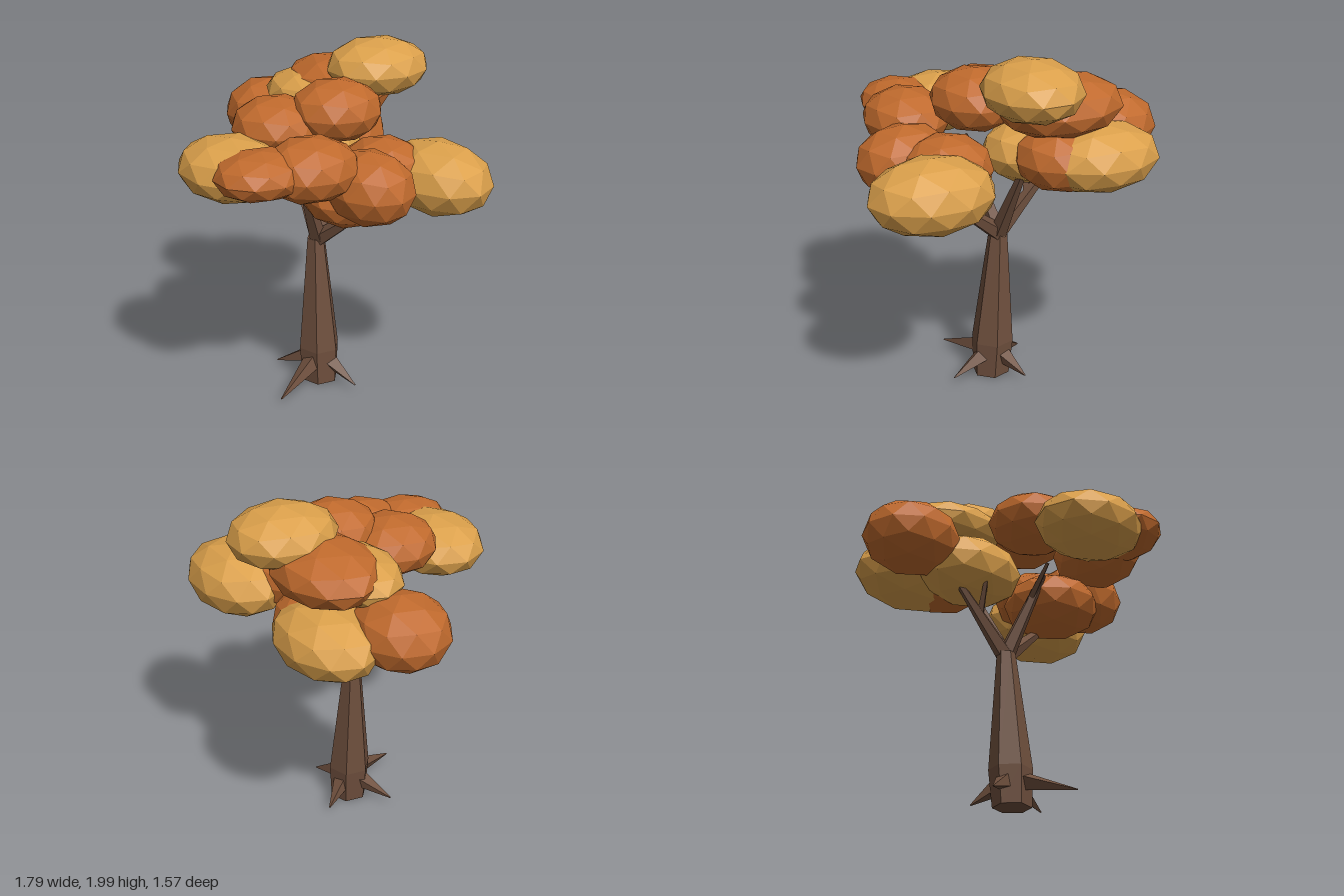
import * as THREE from 'three';

export function createModel() {
  const model = new THREE.Group();
  model.name = 'autumnTree';
  const paint = (name, color) => {
    const m = new THREE.MeshStandardMaterial({ color, flatShading: true });
    m.name = name;
    return m;
  };
  const bark = paint('brownBark', 0x6e4f3d);
  const orange = paint('orangeLeaves', 0xc06a2d);
  const gold = paint('goldLeaves', 0xdba04b);

  const add = (parent, name, geometry, material) => {
    const mesh = new THREE.Mesh(geometry, material);
    mesh.name = name;
    parent.add(mesh);
    return mesh;
  };
  const group = (name) => {
    const g = new THREE.Group();
    g.name = name;
    model.add(g);
    return g;
  };

  // Tapered limb between two points
  const limb = (parent, name, from, to, r0, r1, sides) => {
    const a = new THREE.Vector3(...from), b = new THREE.Vector3(...to);
    const dir = b.clone().sub(a);
    const mesh = add(parent, name, new THREE.CylinderGeometry(r1, r0, dir.length(), sides), bark);
    mesh.position.copy(a).add(b).multiplyScalar(0.5);
    mesh.quaternion.setFromUnitVectors(new THREE.Vector3(0, 1, 0), dir.normalize());
  };

  // Trunk: six-sided column that leans and narrows; rings are [y, centre x, radius]
  const rings = [[0.01, 0.04, 0.108], [0.22, 0.03, 0.122], [0.9, -0.005, 0.053]];
  const trunk = new THREE.CylinderGeometry(1, 1, 1, 6, 2);
  const p = trunk.attributes.position;
  for (let i = 0; i < p.count; i++) {
    const [y, cx, r] = rings[Math.round((p.getY(i) + 0.5) * 2)];
    const a = Math.atan2(p.getZ(i), p.getX(i)) + 0.2;
    const k = Math.hypot(p.getX(i), p.getZ(i)) * r;
    p.setXYZ(i, cx + Math.cos(a) * k, y, -0.09 + Math.sin(a) * k);
  }
  add(model, 'trunk', trunk, bark);

  // Roots: four spikes around the foot
  const roots = group('roots');
  for (const [x, z] of [[0.18, 0.28], [-0.08, -0.3], [-0.2, 0.05], [0.3, -0.155]]) {
    const sx = 0.035 + (x - 0.045) * 0.25, sz = -0.085 + (z + 0.03) * 0.25;
    limb(roots, 'root', [sx, 0.14, sz], [x, 0.05, z], 0.055, 0.004, 4);
  }

  // Branches
  const branches = group('branches');
  for (const tip of [[-0.32, 1.28, -0.14], [-0.03, 1.36, -0.36], [0.37, 1.2, -0.22], [0.11, 1.36, 0.1]]) {
    limb(branches, 'branch', [0, 0.89, -0.1], tip, 0.052, 0.02, 5);
  }
  limb(branches, 'twig', [0.07, 1.2, 0.02], [0.2, 1.36, 0.06], 0.025, 0.012, 4);
  limb(branches, 'twig', [0.07, 1.2, 0.02], [0.06, 1.38, 0.2], 0.025, 0.012, 4);
  limb(branches, 'twig', [-0.17, 1.1, -0.12], [-0.2, 1.32, -0.02], 0.025, 0.012, 4);

  // Foliage: squashed faceted balls with a point at the top; x, y, z, then radii
  const ball = new THREE.IcosahedronGeometry(1, 1)
    .rotateZ(Math.atan(2 / (1 + Math.sqrt(5))))
    .rotateY(Math.PI / 2);
  const foliage = group('foliage');
  const clumps = [
    [gold, 0, 1.84, -0.5, 0.265, 0.16, 0.3],
    [gold, 0.55, 1.36, -0.49, 0.345, 0.2, 0.265],
    [gold, -0.4, 1.42, -0.5, 0.345, 0.185, 0.26],
    [gold, -0.27, 1.66, -0.25, 0.315, 0.135, 0.24],
    [gold, -0.2, 1.4, -0.2, 0.33, 0.19, 0.26],
    [gold, 0.09, 1.49, 0.52, 0.325, 0.165, 0.275],
    [orange, -0.61, 1.47, -0.19, 0.285, 0.2, 0.26],
    [orange, -0.22, 1.7, -0.39, 0.355, 0.165, 0.275],
    [orange, -0.21, 1.42, -0.42, 0.25, 0.18, 0.25],
    [orange, 0.52, 1.39, -0.05, 0.275, 0.2, 0.23],
    [orange, 0.33, 1.29, -0.08, 0.28, 0.175, 0.28],
    [orange, 0.37, 1.4, -0.26, 0.25, 0.175, 0.25],
    [orange, 0.145, 1.7, -0.11, 0.24, 0.17, 0.26],
    [orange, -0.015, 1.62, 0.16, 0.255, 0.16, 0.255],
    [orange, 0.4, 1.52, 0.24, 0.24, 0.17, 0.27],
    [orange, 0.34, 1.53, 0.5, 0.22, 0.125, 0.26],
  ];
  for (const [material, x, y, z, rx, ry, rz] of clumps) {
    const clump = add(foliage, 'leafClump', ball, material);
    clump.position.set(x, y, z);
    clump.scale.set(rx, ry, rz);
  }
  return model;
}
